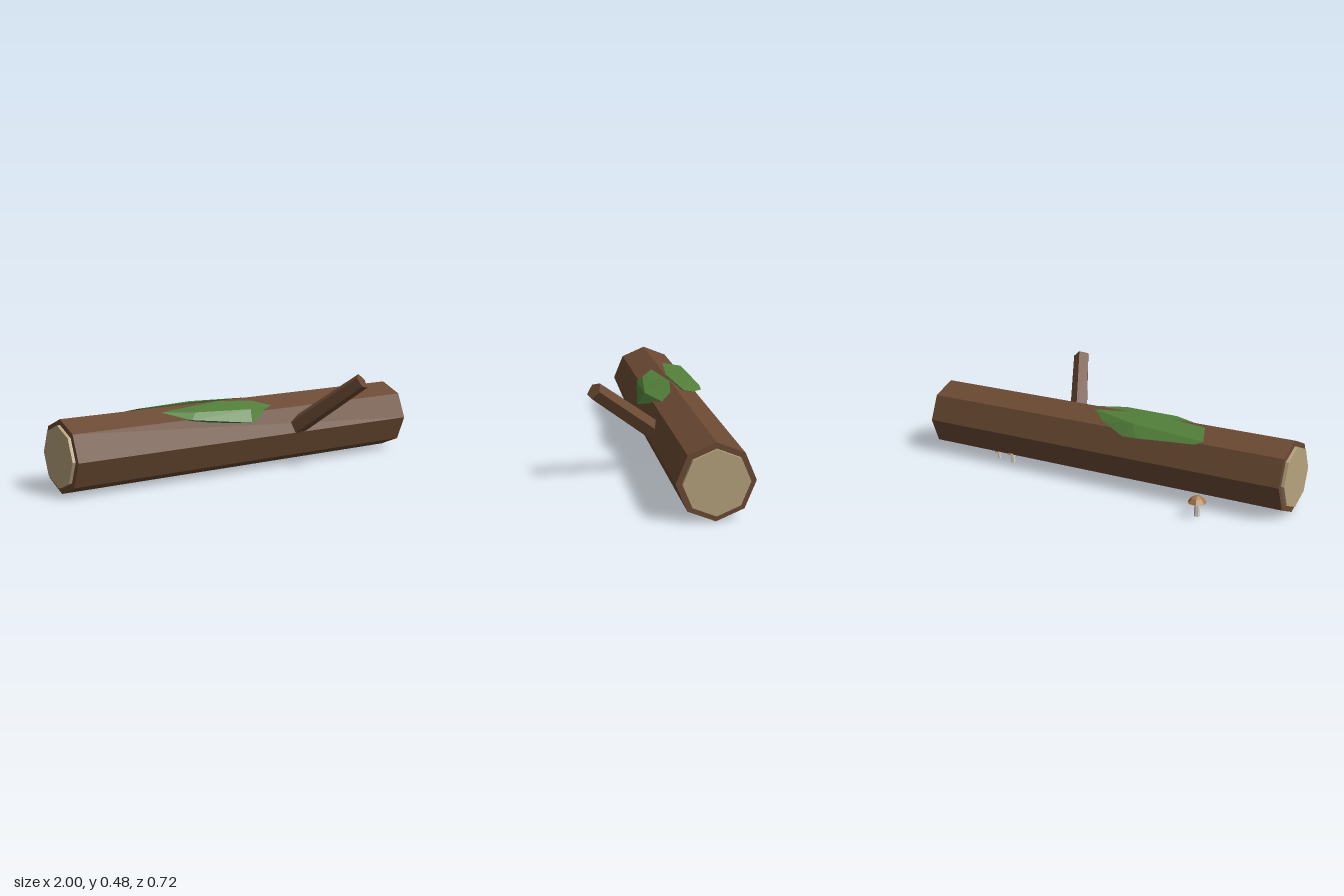
import * as THREE from 'three';
import { ConvexGeometry } from 'three/addons/geometries/ConvexGeometry.js';

const mat = (color) => new THREE.MeshStandardMaterial({ color, flatShading: true });
const bark = mat(0x6b4a33), wood = mat(0xb8a37e), moss = mat(0x527f3a);
const capMat = mat(0xa87b50), stemMat = mat(0xd8d4cc);

function add(parent, name, geometry, material) {
  const mesh = new THREE.Mesh(geometry, material);
  mesh.name = name;
  parent.add(mesh);
  return mesh;
}

// Small toadstool standing on the ground
function mushroom(x, z, scale) {
  const g = new THREE.Group();
  g.name = 'mushroom';
  const stem = add(g, 'mushroomStem', new THREE.CylinderGeometry(0.012, 0.014, 0.07, 6), stemMat);
  stem.position.y = 0.035;
  const profile = [[0, 0.064], [0.045, 0.066], [0.03, 0.087], [0.012, 0.098], [0, 0.1]];
  add(g, 'mushroomCap', new THREE.LatheGeometry(profile.map((p) => new THREE.Vector2(...p)), 7), capMat);
  g.position.set(x, 0, z);
  g.scale.setScalar(scale);
  return g;
}

// Low-poly moss clump wrapped around corner points
function mossPatch(parent, name, points) {
  add(parent, name, new ConvexGeometry(points.map((p) => new THREE.Vector3(...p))), moss);
}

export function createModel() {
  const model = new THREE.Group();
  model.name = 'fallenLog';

  // Eight-sided trunk with a pale cut disc at each end
  const trunk = new THREE.Group();
  trunk.name = 'trunk';
  trunk.position.set(0, 0.173, -0.046);
  trunk.rotation.y = 0.149;
  model.add(trunk);
  add(trunk, 'bark', new THREE.CylinderGeometry(0.173, 0.173, 1.946, 8), bark).rotation.z = Math.PI / 2;
  for (const side of [-1, 1]) {
    const disc = add(trunk, 'cutEnd', new THREE.CylinderGeometry(0.146, 0.146, 0.03, 8), wood);
    disc.rotation.z = Math.PI / 2;
    disc.position.x = side * 0.973;
  }

  // Five-sided branch stub, its base sunk into the trunk
  const tip = new THREE.Vector3(0.49, 0.45, 0.33);
  const base = new THREE.Vector3(0.26, 0.175, 0.03);
  const along = tip.clone().sub(base);
  const length = along.length();
  along.normalize();
  const corner = new THREE.Vector3(-0.005, 0.036, -0.028);
  corner.addScaledVector(along, -corner.dot(along)).normalize();
  const across = along.clone().cross(corner);
  const branch = add(model, 'branch', new THREE.CylinderGeometry(0.042, 0.049, length, 5), bark);
  branch.quaternion.setFromRotationMatrix(new THREE.Matrix4().makeBasis(across, along, corner));
  branch.position.copy(base).lerp(tip, 0.5);

  // Moss on both upper sides of the trunk
  mossPatch(model, 'frontMoss', [
    [-0.46, 0.33, 0.06], [-0.39, 0.285, 0.11], [-0.33, 0.295, 0.14], [-0.3, 0.325, 0.11],
    [-0.01, 0.255, 0.138], [0, 0.315, 0.1], [0.17, 0.31, 0.01], [0.07, 0.335, -0.035],
    [-0.12, 0.345, -0.025], [-0.38, 0.335, -0.02], [-0.2, 0.25, 0.05],
  ]);
  mossPatch(model, 'backMoss', [
    [-0.6, 0.315, -0.1], [-0.57, 0.3, -0.12], [-0.28, 0.285, -0.185], [-0.2, 0.28, -0.19],
    [-0.04, 0.31, -0.14], [0.05, 0.34, -0.09], [-0.22, 0.355, -0.01], [-0.54, 0.345, 0],
    [-0.22, 0.335, -0.14], [-0.3, 0.25, -0.05],
  ]);

  // One mushroom in the open, two smaller ones tucked under the trunk
  model.add(mushroom(-0.65, -0.21, 1), mushroom(0.49, -0.22, 0.75), mushroom(0.59, -0.22, 0.55));
  return model;
}
